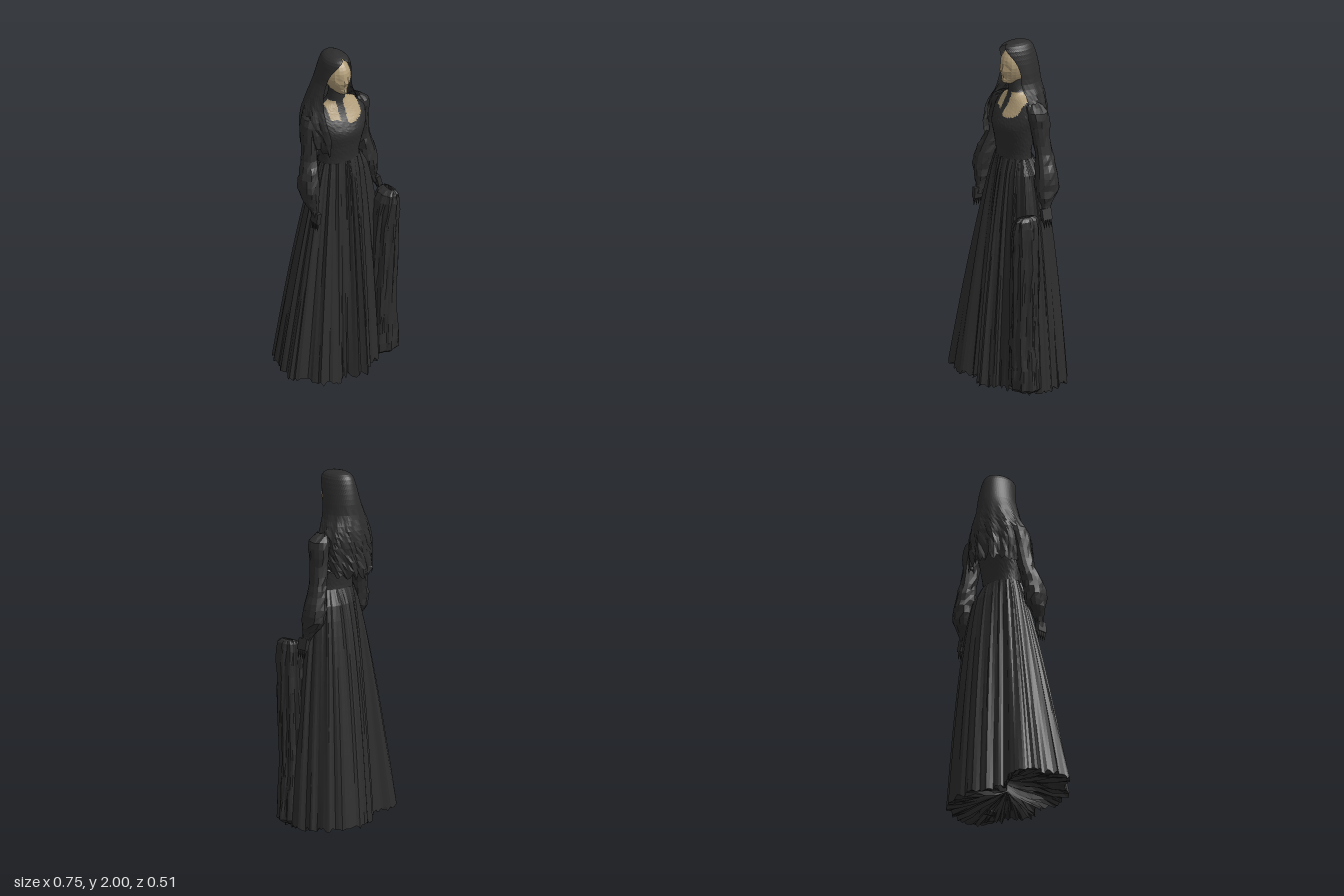
import * as THREE from 'three';

const cloth = new THREE.MeshStandardMaterial({ color: 0x2d2d2d, side: THREE.DoubleSide });
cloth.name = 'black cloth';
const skin = new THREE.MeshStandardMaterial({ color: 0xae9a76, side: THREE.DoubleSide });
skin.name = 'pale skin';

const TAU = Math.PI * 2;
const lerp = THREE.MathUtils.lerp;
// repeatable crumple value in -1..1
const rough = (i, j) => {
  const s = Math.sin(i * 127.1 + j * 311.7) * 43758.5453;
  return (s - Math.floor(s)) * 2 - 1;
};

// faceted surface from a rule fn(u, v); isSkin picks the faces that are skin
function surface(name, fn, nu, nv, isSkin = () => false) {
  const group = new THREE.Group();
  group.name = name;
  const lists = [[], []];
  const tri = (a, b, c) => {
    const mid = a.clone().add(b).add(c).divideScalar(3);
    lists[isSkin(mid) ? 1 : 0].push(a, b, c);
  };
  const grid = [];
  for (let j = 0; j <= nv; j++) {
    grid.push([]);
    for (let i = 0; i <= nu; i++) grid[j].push(fn(i / nu, j / nv, i, j));
  }
  for (let j = 0; j < nv; j++) {
    for (let i = 0; i < nu; i++) {
      const a = grid[j][i], b = grid[j][i + 1], c = grid[j + 1][i], d = grid[j + 1][i + 1];
      tri(a, c, b);
      tri(b, c, d);
    }
  }
  lists.forEach((points, k) => {
    if (!points.length) return;
    const geometry = new THREE.BufferGeometry().setFromPoints(points);
    geometry.computeVertexNormals();
    const mesh = new THREE.Mesh(geometry, k ? skin : cloth);
    mesh.name = name + (k ? 'Skin' : 'Cloth');
    group.add(mesh);
  });
  return group;
}

// smooth interpolation through rows of numbers
function rowAt(rows, v) {
  const f = v * (rows.length - 1);
  const k = Math.min(Math.floor(f), rows.length - 2);
  const t = f - k;
  const at = (n) => rows[Math.max(0, Math.min(rows.length - 1, n))];
  return rows[0].map((_, n) => {
    const [p, a, b, q] = [at(k - 1)[n], at(k)[n], at(k + 1)[n], at(k + 2)[n]];
    const m0 = (b - p) / 2, m1 = (q - a) / 2;
    return a + t * (m0 + t * (3 * (b - a) - 2 * m0 - m1 + t * (m0 + m1 - 2 * (b - a))));
  });
}

// stacked elliptical rings: rows of [y, x, z, halfWidth, halfDepth]
function column(name, rows, nu, nv, crumple, isSkin) {
  return surface(name, (u, v, i, j) => {
    const [y, x, z, rx, rz] = rowAt(rows, v);
    const k = 1 + crumple * rough(i % nu, j);
    const a = u * TAU;
    return new THREE.Vector3(x + rx * k * Math.sin(a), y + crumple * 0.05 * rough(j, i % nu), z + rz * k * Math.cos(a));
  }, nu, nv, isSkin);
}

function makeSkirt() {
  const outline = [
    [0.05, 0.235], [0.13, 0.17], [0.22, 0.13], [0.33, 0.08], [0.355, -0.02], [0.32, -0.11], [0.27, -0.2],
    [0.1, -0.25], [-0.03, -0.21], [-0.14, -0.145], [-0.24, -0.195], [-0.305, -0.14], [-0.345, -0.02],
    [-0.37, 0.11], [-0.3, 0.17], [-0.2, 0.25], [-0.1, 0.235], [-0.04, 0.19],
  ].map(([x, z]) => new THREE.Vector3(x, 0, z));
  const hem = new THREE.CatmullRomCurve3(outline, true);
  const nu = 150;
  const point = (u, s, i) => {
    const h = hem.getPoint(u % 1);
    const a = Math.atan2(h.x, h.z);
    // fuller hips at the back and on the left
    const t = Math.pow(s, 0.68 - 0.18 * Math.sin(a) + 0.08 * Math.cos(a));
    // irregular pleats that deepen toward the hem
    const wave = Math.sin(21 * a + 1.5 * Math.sin(3 * a) + 0.9 * t) + 0.6 * Math.sin(36 * a - 2 * t);
    const r = wave * (0.003 + 0.008 * t) * (h.z < 0 ? 0.6 : 1);
    const hemY = 0.02 + 0.07 * Math.max(0, -h.x / 0.38) + 0.016 * rough(i % nu, 3);
    return new THREE.Vector3(
      lerp(0.042 + 0.127 * Math.sin(a), h.x, t) + r * Math.sin(a),
      lerp(1.34, Math.max(0, hemY), s),
      lerp(-0.002 + 0.088 * Math.cos(a), h.z, t) + r * Math.cos(a));
  };
  const group = new THREE.Group();
  group.name = 'skirt';
  group.add(surface('skirtPleats', (u, v, i) => point(u, v, i), nu, 16));
  // crumpled lining that closes the underside
  group.add(surface('skirtLining', (u, v, i, j) => {
    const p = point(u, 1, i);
    const k = 1 - v;
    return new THREE.Vector3(p.x * k, p.y + 0.08 * v + (j === 0 || j === 4 ? 0 : 0.015 * rough(i % nu, j)), p.z * k);
  }, nu, 4));
  return group;
}

// fold of skirt lifted by the left hand
function makeHeldFold() {
  const rows = [
    [1.07, 0.315, 0.09, 0.012, 0.04], [1.03, 0.3, 0.095, 0.055, 0.075], [0.85, 0.29, 0.09, 0.072, 0.078],
    [0.6, 0.28, 0.085, 0.077, 0.078], [0.35, 0.272, 0.082, 0.08, 0.08], [0.18, 0.277, 0.08, 0.088, 0.08],
    [0.04, 0.277, 0.08, 0.088, 0.078], [0.07, 0.28, 0.08, 0.01, 0.01],
  ];
  return surface('heldFold', (u, v, i, j) => {
    const [y, x, z, rx, rz] = rowAt(rows, v);
    const a = u * TAU;
    const k = 1 + 0.07 * Math.sin(9 * a + 2 * v) + 0.05 * rough(i % 45, j);
    return new THREE.Vector3(x + rx * k * Math.sin(a), Math.max(0.01, y), z + rz * k * Math.cos(a));
  }, 45, 18);
}

function makeVeil() {
  // y, centre x, half width, back z, front z, wrap angle on the right and left
  const rows = [
    [2.0, 0.035, 0, -0.035, -0.035, 180, 180], [1.987, 0.035, 0.045, -0.095, 0.045, 180, 180],
    [1.96, 0.035, 0.07, -0.125, 0.078, 150, 150], [1.9, 0.035, 0.086, -0.145, 0.08, 126, 124],
    [1.83, 0.032, 0.1, -0.16, 0.075, 120, 115], [1.76, 0.022, 0.12, -0.17, 0.07, 126, 117],
    [1.69, 0.022, 0.15, -0.183, 0.07, 136, 112], [1.62, 0.02, 0.178, -0.193, 0.115, 141, 100],
    [1.53, 0.02, 0.178, -0.2, 0.145, 144, 88], [1.43, 0.02, 0.165, -0.21, 0.14, 140, 75],
  ];
  const nu = 44, nv = 22;
  return surface('veil', (u, v, i, j) => {
    const [y, cx, w, zb, zf, right, left] = rowAt(rows, v);
    const a = THREE.MathUtils.degToRad(lerp(-right, left, u));
    const fall = Math.max(0, (v - 0.45) / 0.55);
    const k = 1 + fall * (0.05 * Math.sin(13 * a + 2 * v) + 0.03 * rough(i, j));
    const ragged = j === nv ? 0.025 * rough(i, 7) : 0;
    return new THREE.Vector3(
      cx + w * k * Math.sin(a), y + ragged,
      (zb + zf) / 2 - ((zf - zb) / 2) * k * Math.cos(a));
  }, nu, nv);
}

function makeHead() {
  const geometry = new THREE.SphereGeometry(1, 18, 16);
  const p = geometry.attributes.position;
  for (let i = 0; i < p.count; i++) {
    const x = p.getX(i), y = p.getY(i), z = p.getZ(i);
    const jaw = y < 0 ? 1 + 0.25 * y : 1;
    let front = z * (z > 0 ? 0.09 : 0.11);
    if (z > 0) {
      front += 0.024 * Math.exp(-((x / 0.16) ** 2) - (((y + 0.16) / 0.22) ** 2)); // nose
      front -= 0.012 * Math.exp(-(((Math.abs(x) - 0.38) / 0.2) ** 2) - (((y - 0.05) / 0.16) ** 2)); // eye sockets
      front += 0.035 * Math.exp(-((x / 0.4) ** 2) - (((y + 0.85) / 0.25) ** 2)); // chin
    }
    p.setXYZ(i, 0.038 + x * 0.072 * jaw, 1.862 + y * 0.108, -0.011 + front);
  }
  const flat = geometry.toNonIndexed();
  flat.computeVertexNormals();
  const mesh = new THREE.Mesh(flat, skin);
  mesh.name = 'face';
  return mesh;
}

function makeHand(name, x, y, z, tilt) {
  const hand = new THREE.Group();
  hand.name = name;
  const palm = new THREE.Mesh(new THREE.BoxGeometry(0.026, 0.065, 0.06), cloth);
  palm.name = name + 'Palm';
  hand.add(palm);
  for (let i = 0; i < 4; i++) {
    const finger = new THREE.Mesh(new THREE.ConeGeometry(0.01, 0.06, 5), cloth);
    finger.name = name + 'Finger';
    finger.position.set(0, -0.055, -0.023 + i * 0.015);
    finger.rotation.x = Math.PI;
    hand.add(finger);
  }
  hand.position.set(x, y, z);
  hand.rotation.z = tilt;
  return hand;
}

export function createModel() {
  const model = new THREE.Group();
  model.name = 'veiledWoman';

  // bodice with bare neckline, a centre strand and a dark collar
  const bodice = [
    [1.3, 0.042, 0, 0.125, 0.088], [1.36, 0.042, 0, 0.122, 0.085], [1.44, 0.045, 0.003, 0.135, 0.093],
    [1.52, 0.048, 0.005, 0.15, 0.105], [1.58, 0.05, -0.01, 0.165, 0.097], [1.63, 0.05, -0.025, 0.16, 0.08],
    [1.67, 0.045, -0.03, 0.115, 0.064], [1.7, 0.04, -0.028, 0.06, 0.052], [1.74, 0.037, -0.022, 0.044, 0.045],
    [1.8, 0.037, -0.02, 0.042, 0.045],
  ];
  const neckline = (p) => p.z > -0.03 && p.y < 1.71 &&
    ((p.x > -0.045 && p.x < 0.012 && p.y > 1.61 - 0.2 * p.x) ||
     (p.x > 0.054 && p.x < 0.158 && p.y > 1.583 + 9 * Math.max(0, p.x - 0.1) ** 2));
  model.add(column('bodice', bodice, 90, 56, 0.006, neckline));

  // sleeves: close upper arm, full lower puff, narrow cuff; the right arm reaches further forward
  model.add(column('rightSleeve', [
    [1.665, -0.085, -0.035, 0.02, 0.03], [1.62, -0.12, -0.035, 0.052, 0.06], [1.52, -0.143, -0.02, 0.046, 0.055],
    [1.4, -0.158, 0, 0.042, 0.05], [1.33, -0.174, 0.02, 0.05, 0.062], [1.25, -0.187, 0.035, 0.054, 0.073],
    [1.17, -0.187, 0.045, 0.047, 0.064], [1.11, -0.178, 0.07, 0.026, 0.03], [1.05, -0.172, 0.085, 0.018, 0.022],
  ], 14, 18, 0.1));
  model.add(column('leftSleeve', [
    [1.67, 0.175, -0.035, 0.02, 0.03], [1.62, 0.21, -0.045, 0.052, 0.062], [1.52, 0.224, -0.055, 0.045, 0.056],
    [1.4, 0.238, -0.065, 0.042, 0.05], [1.33, 0.252, -0.07, 0.05, 0.062], [1.25, 0.268, -0.068, 0.057, 0.073],
    [1.17, 0.277, -0.06, 0.052, 0.066], [1.11, 0.295, -0.045, 0.027, 0.03], [1.05, 0.31, -0.035, 0.018, 0.022],
  ], 14, 18, 0.1));
  model.add(makeHand('rightHand', -0.175, 1.055, 0.09, -0.1));
  model.add(makeHand('leftHand', 0.318, 1.06, -0.03, 0.25));

  model.add(makeSkirt(), makeHeldFold(), makeHead(), makeVeil());
  return model;
}
